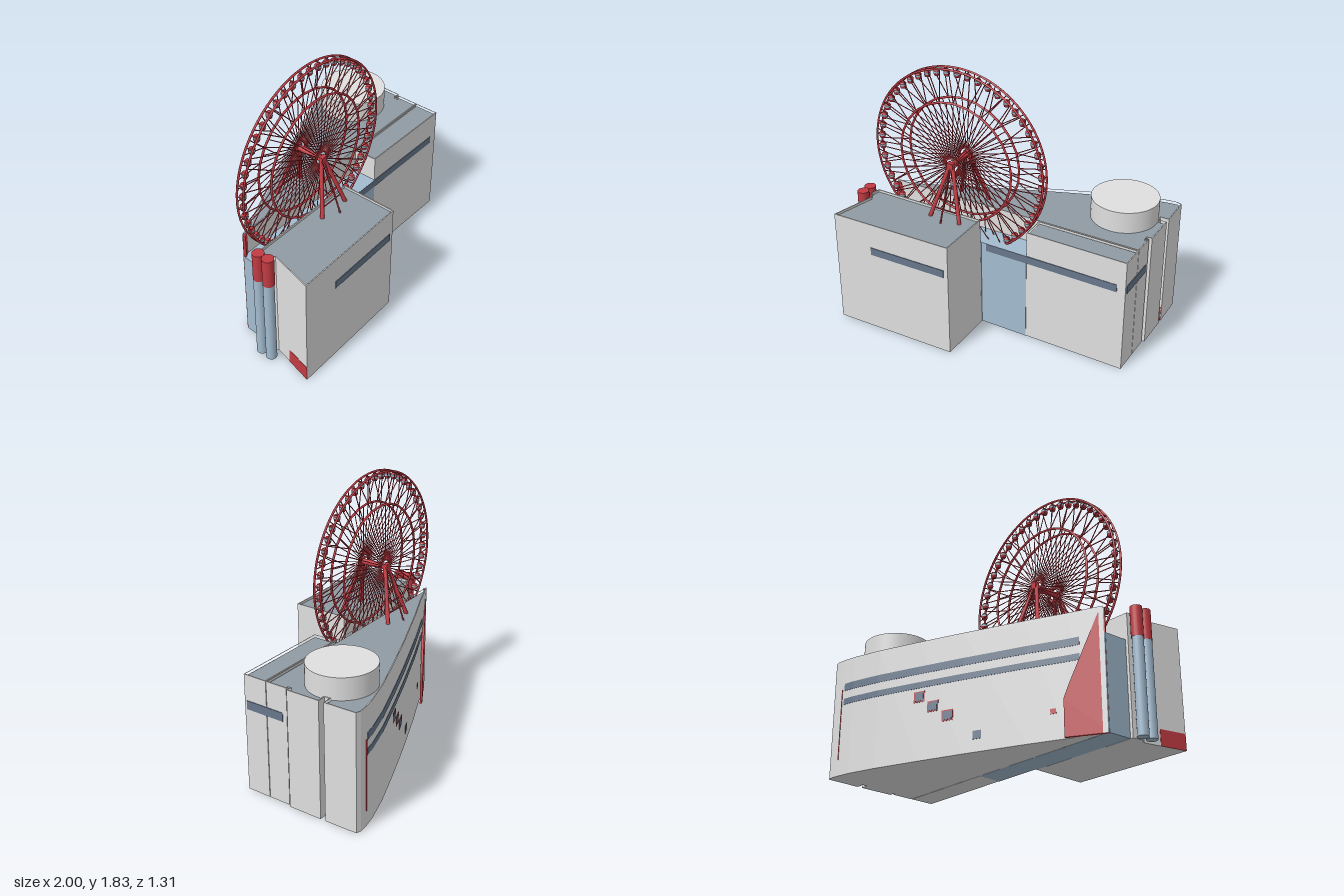
import * as THREE from 'three';
import { mergeGeometries } from 'three/addons/utils/BufferGeometryUtils.js';

const mat = (name, color) => {
  const m = new THREE.MeshStandardMaterial({ color });
  m.name = name;
  return m;
};
const V = (x, y, z) => new THREE.Vector3(x, y, z);

export function createModel() {
  const wall = mat('wallGrey', 0xdfdfdf), roof = mat('roofGrey', 0x909ba3);
  const glass = mat('glassBlue', 0xa3bcd0), red = mat('steelRed', 0xc23b43), pane = mat('windowSlate', 0x67778c);
  const model = new THREE.Group();
  const add = (name, geo, material, parent = model, x = 0, y = 0, z = 0) => {
    const m = new THREE.Mesh(geo, material);
    m.name = name;
    m.position.set(x, y, z);
    parent.add(m);
    return m;
  };

  // Upright prism from a plan outline of [x, z] points
  const plan = pts => pts.map(([x, z]) => new THREE.Vector2(x, -z));
  const prism = (pts, y0, y1, hole) => {
    const s = new THREE.Shape(plan(pts));
    if (hole) s.holes.push(new THREE.Path(plan(hole)));
    return new THREE.ExtrudeGeometry(s, { depth: y1 - y0, bevelEnabled: false })
      .rotateX(-Math.PI / 2).translate(0, y0, 0);
  };
  // Mitred inset of a plan outline
  const inset = (pts, t) => {
    const n = pts.length;
    const sign = THREE.ShapeUtils.area(pts.map(([x, y]) => ({ x, y }))) > 0 ? 1 : -1;
    const normal = (a, b) => {
      const dx = b[0] - a[0], dz = b[1] - a[1], l = Math.hypot(dx, dz) * sign;
      return [-dz / l, dx / l];
    };
    return pts.map((p, i) => {
      const a = normal(pts[(i + n - 1) % n], p), b = normal(p, pts[(i + 1) % n]);
      const k = t / (1 + a[0] * b[0] + a[1] * b[1]);
      return [p[0] + (a[0] + b[0]) * k, p[1] + (a[1] + b[1]) * k];
    });
  };
  // Building block with sunken roof deck and thin parapet
  const H = 0.83, DECK = 0.813;
  const block = (name, pts) => {
    const g = new THREE.Group();
    g.name = name;
    model.add(g);
    const inner = inset(pts, 0.007);
    add('walls', prism(pts, 0, DECK - 0.004), wall, g);
    add('parapet', prism(pts, DECK - 0.004, H, inner), wall, g);
    add('roofDeck', prism(inner, DECK - 0.004, DECK), roof, g);
  };

  // Curved back wall, from the sharp end to the broad end
  const back = [[-0.875, 0.042], [-0.64, -0.055], [-0.4, -0.165], [0, -0.335], [0.3, -0.455],
    [0.6, -0.57], [0.8, -0.632], [0.9, -0.652], [0.96, -0.657], [0.995, -0.647]];
  block('backBlock', [...back, [1, -0.415], [0.94, -0.415], [0.94, -0.378], [1, -0.378],
    [1, -0.137], [0.965, -0.137], [0.965, -0.122], [0.985, -0.122], [0.985, 0.035]]);
  block('frontRightBlock', [[0.265, 0.04], [0.985, 0.04], [0.985, 0.213], [0.265, 0.21]]);
  block('frontLeftBlock', [[-0.97, 0.648], [-0.083, 0.63], [-0.083, 0.223], [-0.91, 0.223],
    [-0.922, 0.29], [-0.895, 0.34]]);
  add('glassAtrium', prism([[-0.88, 0.045], [0.265, 0.039], [0.265, 0.213], [-0.083, 0.213],
    [-0.083, 0.222], [-0.89, 0.222]], 0, 0.65), glass);
  add('roundRoofTower', new THREE.CylinderGeometry(0.23, 0.23, 0.16, 48), wall, model, 0.71, 0.885, -0.34);

  // Flat window bands on front and side
  add('frontLeftWindow', prism([[-0.685, 0.63], [-0.115, 0.62], [-0.115, 0.635], [-0.685, 0.646]], 0.595, 0.65), pane);
  add('frontRightWindow', new THREE.BoxGeometry(0.97, 0.055, 0.008), pane, model, 0.44, 0.622, 0.2115);
  add('sideWindow', new THREE.BoxGeometry(0.008, 0.06, 0.285), pane, model, 0.985, 0.62, 0.053);

  // Thin bands that follow the back wall
  const wallZ = x => {
    const i = Math.max(1, back.findIndex(p => p[0] >= x));
    const [a, b] = [back[i - 1], back[i]];
    return a[1] + (b[1] - a[1]) * (x - a[0]) / (b[0] - a[0]);
  };
  const band = (x0, x1, y0, y1, t) => {
    const pts = [[x0, wallZ(x0)], ...back.filter(p => p[0] > x0 && p[0] < x1), [x1, wallZ(x1)]];
    const off = d => pts.map(([x, z]) => [x - 0.37 * d, z - 0.93 * d]);
    return prism([...off(t), ...off(-0.004).reverse()], y0, y1);
  };
  add('backWindowUpper', band(-0.725, 0.88, 0.597, 0.65, 0.002), pane);
  add('backWindowLower', band(-0.725, 0.88, 0.497, 0.54, 0.002), pane);
  [[0.3, 0.435], [0.205, 0.355], [0.105, 0.275]].forEach(([x, y]) => {
    add('squareWindowFrame', band(x - 0.037, x + 0.037, y - 0.037, y + 0.037, 0.002), red);
    add('squareWindow', band(x - 0.029, x + 0.029, y - 0.029, y + 0.029, 0.004), pane);
  });
  add('lowWindow', band(-0.117, -0.063, 0.085, 0.14, 0.003), pane);
  add('smallRedVent', band(-0.576, -0.542, 0.17, 0.203, 0.003), red);
  add('redWallLine', band(0.896, 0.899, 0.11, 0.61, 0.005), red);

  // Leaning red panel over the sharp end, and low red plates
  const panel = new THREE.Shape([[0, 0], [0.275, 0], [0.275, 0.25], [0.24, 0.34], [0.03, 0.82], [0, 0.82]]
    .map(p => new THREE.Vector2(...p)));
  add('redPanel', new THREE.ExtrudeGeometry(panel, { depth: 0.018, bevelEnabled: false }), red,
    model, -0.881, 0, 0.05).rotation.y = 0.52;
  add('redBasePlate', prism([[-0.972, 0.647], [-0.926, 0.46], [-0.92, 0.46], [-0.964, 0.646]], 0, 0.11), red);
  add('redNicheBase', new THREE.BoxGeometry(0.05, 0.11, 0.004), red, model, 0.97, 0.055, -0.414);

  // Pair of pipes: glass below, red above
  for (const z of [0.255, 0.335]) {
    add('pipeLower', new THREE.CylinderGeometry(0.037, 0.037, 0.65, 20), glass, model, -0.962, 0.325, z);
    add('pipeUpper', new THREE.CylinderGeometry(0.04, 0.04, 0.21, 20), red, model, -0.96, 0.755, z);
  }

  // Big wheel, built around its own axle
  const wheel = new THREE.Group();
  wheel.name = 'bigWheel';
  wheel.position.set(-0.304, 1.175, 0.12);
  model.add(wheel);
  const strut = (a, b, r, sides = 5) => {
    const d = b.clone().sub(a);
    const g = new THREE.CylinderGeometry(r, r, d.length(), sides);
    g.applyQuaternion(new THREE.Quaternion().setFromUnitVectors(V(0, 1, 0), d.normalize()));
    return g.translate((a.x + b.x) / 2, (a.y + b.y) / 2, (a.z + b.z) / 2);
  };
  const at = (turn, r, z) => V(Math.sin(turn * 2 * Math.PI) * r, Math.cos(turn * 2 * Math.PI) * r, z);
  const N = 50, R = 0.648, RI = 0.43;
  const rings = [], spokes = [], legs = [], bodies = [], panes = [];
  for (const s of [-1, 1]) {
    rings.push(new THREE.TorusGeometry(R, 0.0075, 6, 100).translate(0, 0, s * 0.026));
    rings.push(new THREE.TorusGeometry(RI, 0.008, 6, 25).rotateZ(Math.PI / 2).translate(0, 0, s * 0.052));
    rings.push(new THREE.TorusGeometry(0.05, 0.006, 6, 24).translate(0, 0, s * 0.088));
    for (let i = 0; i < N; i++) {
      const t = i / N, v = Math.floor(i / 2) / 25;
      spokes.push(strut(at(t, 0.05, s * 0.088), at(t, RI, s * 0.052), 0.0032));
      spokes.push(strut(at(v, RI, s * 0.052), at(v + (i % 2 ? 0.012 : -0.012), R, s * 0.026), 0.0035));
    }
    // Splayed legs with braces, and a slim outer stay
    const foot = dx => V(dx * 0.115, -0.365, s * 0.195), top = dx => V(dx * 0.012, 0, s * 0.1);
    for (const dx of [-1, 1]) legs.push(strut(top(dx), foot(dx), 0.014, 8));
    for (const k of [0.4, 0.64, 0.82])
      legs.push(strut(top(-1).lerp(foot(-1), k), top(1).lerp(foot(1), k), 0.005));
    legs.push(strut(V(0, 0, s * 0.11), V(0, -0.365, s * 0.248), 0.006));
  }
  // Cross bars and hanging cabins
  for (let i = 0; i < N; i++) {
    spokes.push(strut(at(i / N, R, -0.026), at(i / N, R, 0.026), 0.004));
    const c = at(i / N, 0.624, 0);
    const disc = (r0, r1, h, dy) => new THREE.CylinderGeometry(r0, r1, h, 10).translate(c.x, c.y + dy, 0);
    bodies.push(disc(0.023, 0.017, 0.018, -0.018), disc(0.015, 0.023, 0.011, 0.011));
    panes.push(disc(0.0215, 0.0215, 0.015, -0.002));
  }
  // Axle with square end blocks
  legs.push(strut(V(0, 0, -0.12), V(0, 0, 0.12), 0.02, 12));
  for (const s of [-1, 1]) legs.push(new THREE.BoxGeometry(0.046, 0.05, 0.03).translate(0, 0, s * 0.105));
  add('wheelRings', mergeGeometries(rings), red, wheel);
  add('wheelSpokes', mergeGeometries(spokes), red, wheel);
  add('supportLegs', mergeGeometries(legs), red, wheel);
  add('cabinBodies', mergeGeometries(bodies), red, wheel);
  add('cabinWindows', mergeGeometries(panes), glass, wheel);

  return model;
}
